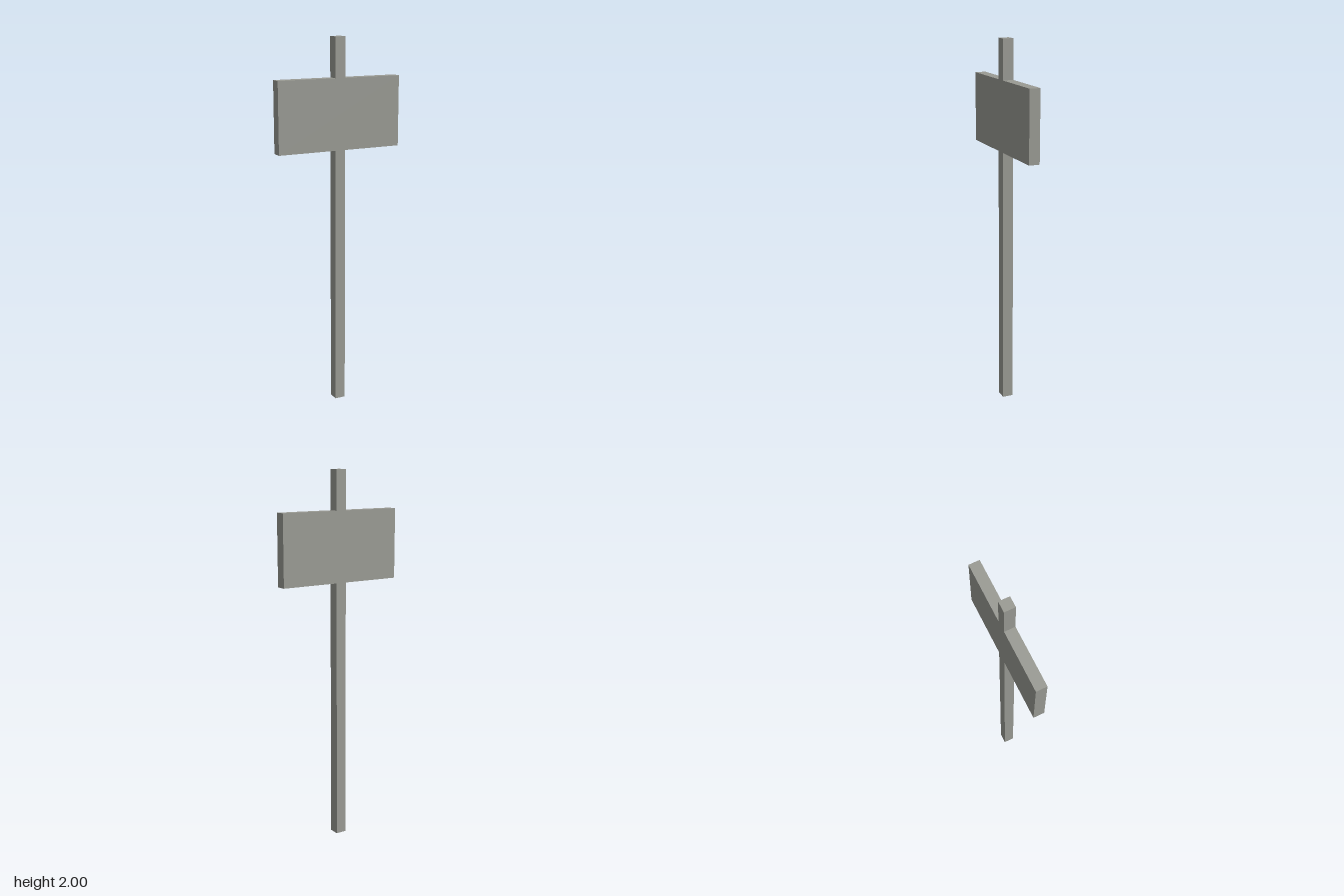
import * as THREE from 'three';

const DEPTH = 0.058;
const BOARD_BOTTOM = 1.414;
const BOARD_TOP = 1.79;
const HEIGHT = 2;

export function createModel() {
  const group = new THREE.Group();
  group.name = 'signpost';
  const material = new THREE.MeshStandardMaterial({ color: 0x9a9b94 });

  // Box spanning bottom..top, centred on the post axis
  const addBox = (name, width, bottom, top) => {
    const mesh = new THREE.Mesh(new THREE.BoxGeometry(width, top - bottom, DEPTH), material);
    mesh.name = name;
    mesh.position.y = (bottom + top) / 2;
    group.add(mesh);
  };

  // Square post, interrupted by a board of the same thickness so the faces sit flush
  addBox('lowerPost', DEPTH, 0, BOARD_BOTTOM);
  addBox('signBoard', 0.7, BOARD_BOTTOM, BOARD_TOP);
  addBox('upperPost', DEPTH, BOARD_TOP, HEIGHT);

  return group;
}
